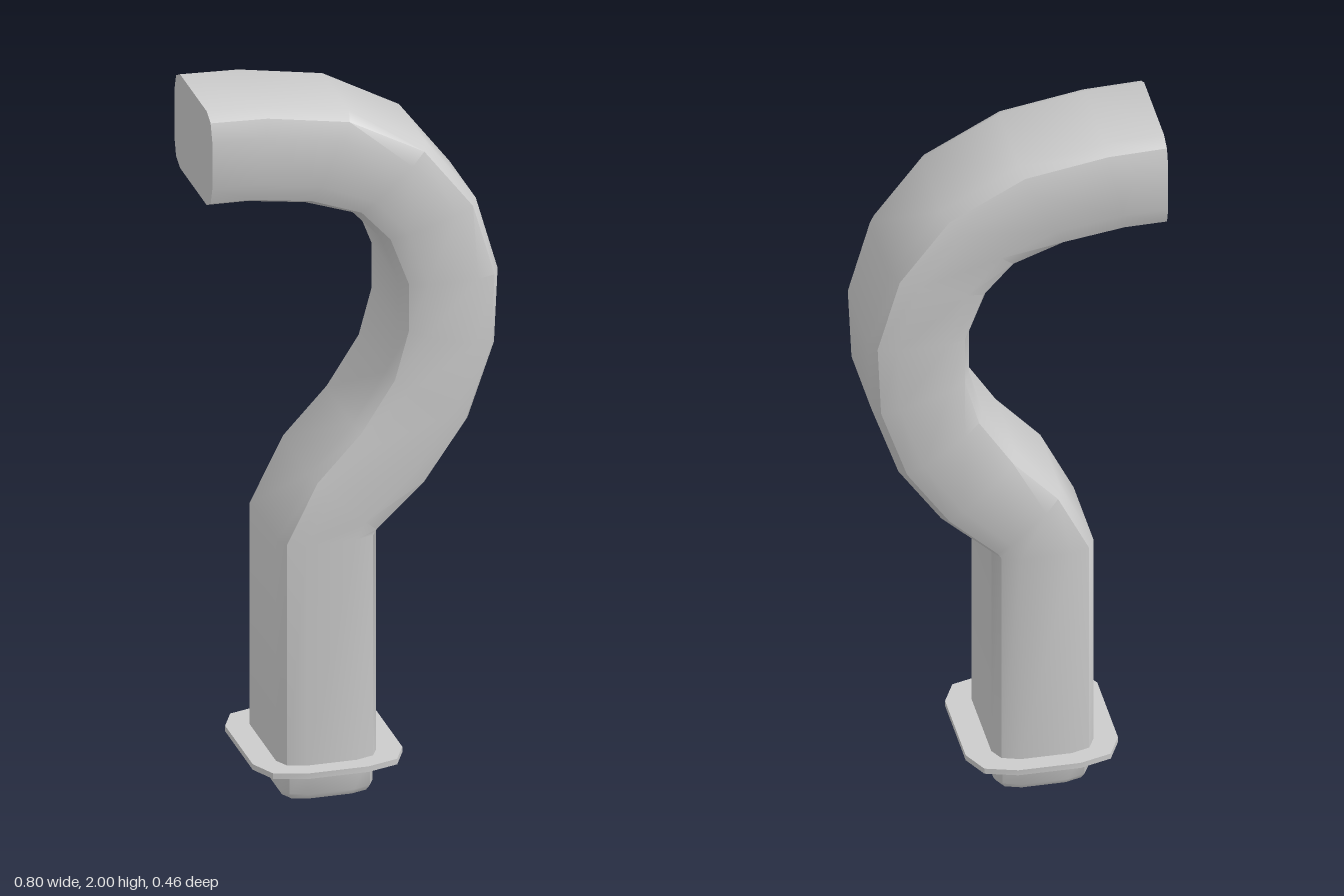
import * as THREE from 'three';
import { toCreasedNormals } from 'three/addons/utils/BufferGeometryUtils.js';

// Corner points of a rounded rectangle, one quadrant, as fractions of the half sizes
const TUBE = [[1, 0.7], [0.86, 0.91], [0.5, 1]];
const PLATE = [[1, 0.57], [0.83, 0.885], [0.41, 1]];

// Full outline of a cross-section spanning (ax, ay) to (bx, by), with half depth hz
function ring([ax, ay, bx, by], hz, corner) {
  const back = [...corner].reverse();
  const outline = [
    ...corner,
    ...back.map(([u, z]) => [-u, z]),
    ...corner.map(([u, z]) => [-u, -z]),
    ...back.map(([u, z]) => [u, -z]),
  ];
  return outline.map(([u, z]) => [
    (ax + bx) / 2 + (u * (bx - ax)) / 2,
    (ay + by) / 2 + (u * (by - ay)) / 2,
    z * hz,
  ]);
}

// Skin over a row of rings, with optional flat ends
function loft(name, rings, capStart, capEnd) {
  const n = rings[0].length;
  const last = rings.length - 1;
  const index = [];
  for (let i = 0; i < last; i++) {
    for (let j = 0; j < n; j++) {
      const a = i * n + j, b = i * n + ((j + 1) % n);
      index.push(a, a + n, b, b, a + n, b + n);
    }
  }
  for (let j = 1; j < n - 1; j++) {
    if (capStart) index.push(0, j, j + 1);
    if (capEnd) index.push(last * n, last * n + j + 1, last * n + j);
  }
  const geometry = new THREE.BufferGeometry();
  geometry.setAttribute('position', new THREE.Float32BufferAttribute(rings.flat(2), 3));
  geometry.setIndex(index);
  const mesh = new THREE.Mesh(
    toCreasedNormals(geometry, 0.77),
    new THREE.MeshStandardMaterial({ color: 0xcccccc }),
  );
  mesh.name = name;
  return mesh;
}

// Level ring around the shaft axis
const CX = -0.07;
const level = (y, hx, hz, corner) => ring([CX - hx, y, CX + hx, y], hz, corner);

export function createModel() {
  const group = new THREE.Group();
  group.name = 'hookedTube';

  // Straight shaft and hook: inner edge x, y then outer edge x, y
  const path = [
    [-0.21, 0.1, 0.065, 0.1],
    [-0.21, 0.74, 0.065, 0.74],
    [-0.12, 0.92, 0.068, 0.743],
    [0, 1.05, 0.2, 0.865],
    [0.09, 1.19, 0.315, 1.03],
    [0.125, 1.32, 0.388, 1.24],
    [0.125, 1.45, 0.398, 1.45],
    [0.075, 1.58, 0.338, 1.66],
    [0, 1.66, 0.2, 1.84],
    [-0.13, 1.705, -0.01, 1.955],
    [-0.29, 1.728, -0.24, 1.994],
    [-0.4, 1.73, -0.4, 2],
  ];
  group.add(loft('hookTube', path.map((p) => ring(p, 0.179, TUBE)), false, true));

  // Thin collar plate
  group.add(loft('collar', [
    level(0.09, 0.205, 0.229, PLATE),
    level(0.106, 0.205, 0.229, PLATE),
  ], true, true));

  // Hollow plug with a bevelled rim, from the inside out
  group.add(loft('plug', [
    level(0.6, 0.112, 0.148, TUBE),
    level(0, 0.112, 0.148, TUBE),
    level(0, 0.119, 0.156, TUBE),
    level(0.016, 0.128, 0.166, TUBE),
    level(0.1, 0.128, 0.166, TUBE),
  ], true, false));

  return group;
}
